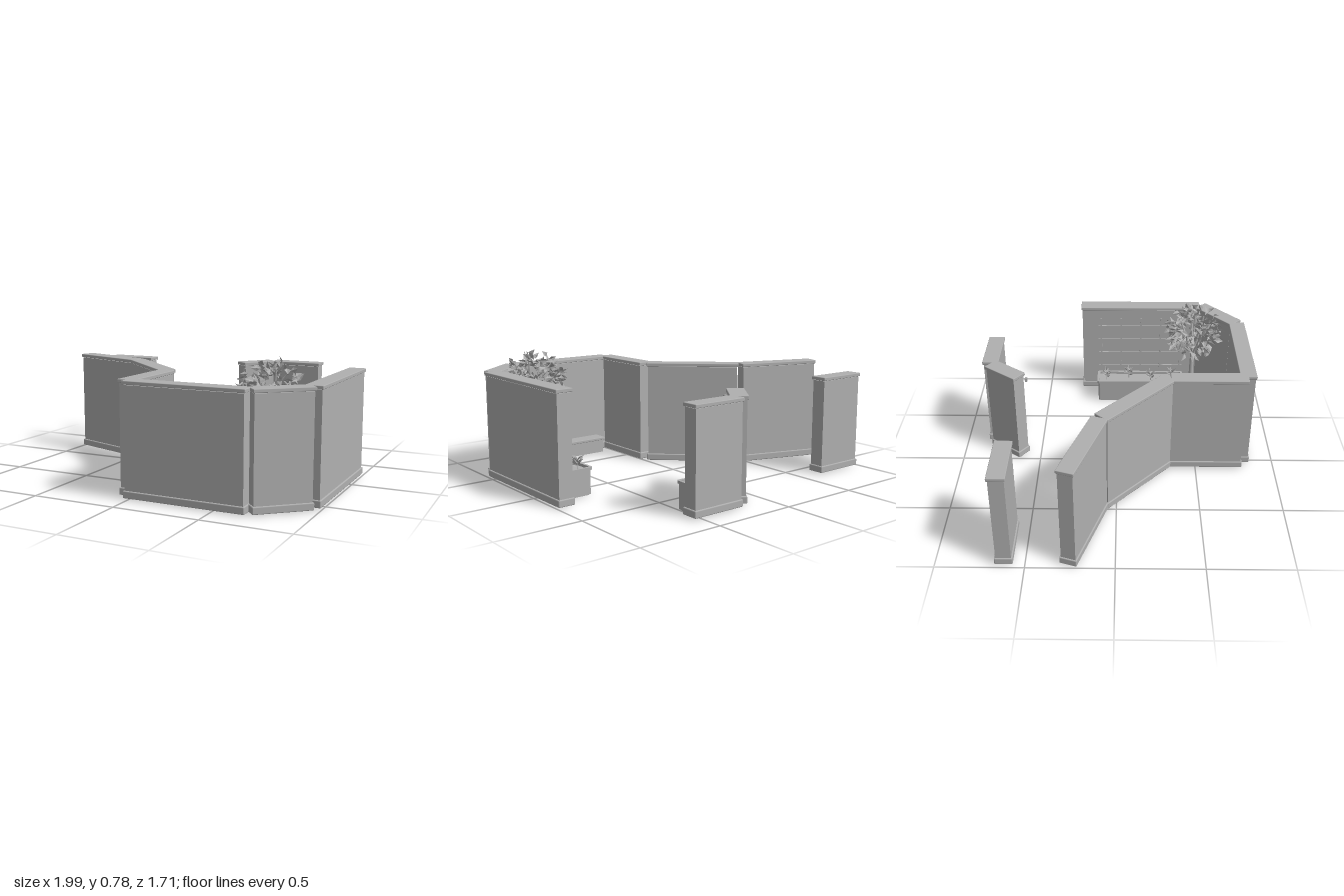
import * as THREE from 'three';
import { RoundedBoxGeometry } from 'three/addons/geometries/RoundedBoxGeometry.js';

const gray = new THREE.MeshStandardMaterial({ color: 0xb0b0b0, side: THREE.DoubleSide });
gray.name = 'gray';

let seed = 7;
const rnd = () => (seed = (seed * 16807) % 2147483647) / 2147483647;
const range = (a, b) => a + (b - a) * rnd();
const V = (x, y, z) => new THREE.Vector3(x, y, z);

function add(parent, name, geo, x = 0, y = 0, z = 0) {
  const m = new THREE.Mesh(geo, gray);
  m.name = name;
  m.position.set(x, y, z);
  parent.add(m);
  return m;
}

function subgroup(parent, name, x = 0, y = 0, z = 0) {
  const g = new THREE.Group();
  g.name = name;
  g.position.set(x, y, z);
  parent.add(g);
  return g;
}

// Partition panel between two floor points: body, coping and skirting
function wall(parent, name, x1, z1, x2, z2, h) {
  const len = Math.hypot(x2 - x1, z2 - z1), t = 0.103, y0 = 0.006;
  const g = subgroup(parent, name, (x1 + x2) / 2, 0, (z1 + z2) / 2);
  g.rotation.y = -Math.atan2(z2 - z1, x2 - x1);
  add(g, 'panel', new THREE.BoxGeometry(len - 0.016, h - 0.03, t - 0.016), 0, y0 + (h - 0.03) / 2, 0);
  add(g, 'coping', new RoundedBoxGeometry(len, 0.021, t, 1, 0.004), 0, h - 0.0105, 0);
  add(g, 'skirting', new RoundedBoxGeometry(len, 0.042, t, 1, 0.006), 0, y0 + 0.021, 0);
}

function roundRect(w, d, r, Kind = THREE.Shape) {
  const s = new Kind(), a = w / 2 - r, b = d / 2 - r;
  s.absarc(a, b, r, 0, Math.PI / 2);
  s.absarc(-a, b, r, Math.PI / 2, Math.PI);
  s.absarc(-a, -b, r, Math.PI, Math.PI * 1.5);
  s.absarc(a, -b, r, Math.PI * 1.5, Math.PI * 2);
  s.closePath();
  return s;
}

// Upright extrusion of a rounded rectangle, optionally hollow
function slab(w, d, h, r, wallThickness) {
  const s = roundRect(w, d, r);
  if (wallThickness) {
    const k = wallThickness * 2;
    s.holes.push(roundRect(w - k, d - k, r * 0.6, THREE.Path));
  }
  return new THREE.ExtrudeGeometry(s, { depth: h, bevelEnabled: false, curveSegments: 4 }).rotateX(-Math.PI / 2);
}

// Folded leaf: two halves either side of a sunken midrib
function leaf(out, base, dir, length, width) {
  const d = dir.clone().normalize();
  const side = V(range(-1, 1), range(-0.3, 0.3), range(-1, 1)).cross(d).normalize();
  const up = side.clone().cross(d);
  const at = (t, s, u) => base.clone().addScaledVector(d, t * length)
    .addScaledVector(side, s * width).addScaledVector(up, u * width);
  const tip = at(1, 0, -0.2), mid = at(0.45, 0, 0);
  for (const s of [-0.5, 0.5]) {
    const edge = at(0.4, s, 0.25);
    for (const p of [base, edge, mid, mid, edge, tip]) out.push(p.x, p.y, p.z);
  }
}

function leafGeometry(points) {
  const g = new THREE.BufferGeometry();
  g.setAttribute('position', new THREE.Float32BufferAttribute(points, 3));
  g.computeVertexNormals();
  return g;
}

// Small bedding plant with two whorls of leaves
function seedling(parent, x, y, z) {
  const g = subgroup(parent, 'seedling', x, y, z);
  add(g, 'stem', new THREE.CylinderGeometry(0.002, 0.003, 0.06, 5), 0, 0.03, 0);
  const pts = [];
  for (let i = 0; i < 14; i++) {
    const a = i * 2.4;
    leaf(pts, V(0, 0.02 + 0.045 * i / 14, 0), V(Math.cos(a), range(0.3, 1), Math.sin(a)), range(0.035, 0.05), 0.016);
  }
  add(g, 'leaves', leafGeometry(pts));
}

// Rectangular planter with rim, soil and plants
function planter(parent, name, x, z, w, d, plants) {
  const g = subgroup(parent, name, x, 0, z);
  const h = 0.165;
  add(g, 'foot', slab(w - 0.03, d - 0.03, 0.01, 0.01), 0, 0, 0);
  add(g, 'tub', slab(w - 0.016, d - 0.016, h - 0.015, 0.012, 0.008), 0, 0.006, 0);
  add(g, 'rim', slab(w, d, 0.016, 0.016, 0.016), 0, h - 0.016, 0);
  add(g, 'soil', slab(w - 0.03, d - 0.03, 0.14, 0.01), 0, 0.008, 0);
  for (const [px, pz] of plants) seedling(g, px - x, 0.148, pz - z);
}

// Potted tree with forked branches and a loose round crown
function tree(parent, x, z) {
  const g = subgroup(parent, 'pottedTree', x, 0, z);
  const profile = [[0, 0.004], [0.064, 0.004], [0.088, 0.135], [0.1, 0.135], [0.102, 0.172], [0.088, 0.172], [0.086, 0.155]];
  for (let i = 0; i < profile.length - 1; i++) {
    const seg = [profile[i], profile[i + 1]].map(p => new THREE.Vector2(...p));
    add(g, 'pot', new THREE.LatheGeometry(seg, 28));
  }
  add(g, 'soil', new THREE.CircleGeometry(0.088, 28).rotateX(-Math.PI / 2), 0, 0.156, 0);
  add(g, 'trunk', new THREE.CylinderGeometry(0.012, 0.017, 0.26, 8), 0, 0.285, 0);
  const pts = [];
  for (let i = 0; i < 9; i++) {
    const a = i * 2.4, r = i === 8 ? 0.03 : range(0.09, 0.14);
    const end = V(Math.cos(a) * r, i === 8 ? 0.71 : range(0.52, 0.69), Math.sin(a) * r);
    const bend = V(end.x * 0.4, 0.47, end.z * 0.4);
    const path = new THREE.QuadraticBezierCurve3(V(0, 0.4, 0), bend, end);
    add(g, 'branch', new THREE.TubeGeometry(path, 6, 0.006, 5));
  }
  for (let i = 0; i < 260; i++) {
    const u = range(-1, 1), a = range(0, Math.PI * 2), k = Math.sqrt(1 - u * u), r = Math.cbrt(range(0.15, 1));
    const n = V(k * Math.cos(a), u, k * Math.sin(a));
    const base = V(n.x * r * 0.175, 0.575 + n.y * r * 0.165, n.z * r * 0.175);
    leaf(pts, base, n.add(V(range(-1, 1), range(-0.9, 0.5), range(-1, 1))), range(0.042, 0.062), range(0.028, 0.04));
  }
  add(g, 'leaves', leafGeometry(pts));
}

// Lattice on spacers against the side wall
function trellis(parent) {
  const g = subgroup(parent, 'trellis', 0.87, 0, 0.157);
  for (let i = 0; i < 5; i++) {
    const z = -0.28 + i * 0.14;
    add(g, 'upright', new THREE.BoxGeometry(0.008, 0.52, 0.011), 0, 0.32, z);
    for (const y of [0.2, 0.5]) add(g, 'spacer', new THREE.BoxGeometry(0.03, 0.01, 0.01), 0.015, y, z);
  }
  for (let i = 0; i < 4; i++) {
    add(g, 'crossbar', new THREE.BoxGeometry(0.008, 0.011, 0.6), 0.004, 0.2 + i * 0.105, 0);
  }
}

export function createModel() {
  const model = new THREE.Group();
  model.name = 'gardenEnclosure';

  // Tall panels around the front and sides, lower ones at the back
  const tall = 0.65, low = 0.605;
  wall(model, 'rightOuterWall', -0.982, -0.262, -0.476, -0.095, tall);
  wall(model, 'rightAngledWall', -0.472, -0.088, -0.038, 0.315, tall);
  wall(model, 'innerSideWall', -0.035, 0.325, -0.035, 0.797, tall);
  wall(model, 'frontWall', -0.032, 0.798, 0.682, 0.798, tall);
  wall(model, 'cornerWall', 0.686, 0.792, 0.942, 0.572, tall);
  wall(model, 'leftWall', 0.942, -0.262, 0.942, 0.566, tall);
  wall(model, 'backWall', 0.204, -0.807, 0.543, -0.807, low);
  wall(model, 'backAngledWall', 0.04, -0.605, 0.193, -0.805, low);
  wall(model, 'backScreen', -0.982, -0.617, -0.643, -0.617, low);

  // Low bench along the front wall
  const bench = subgroup(model, 'bench', 0.335, 0, 0.697);
  add(bench, 'benchBase', new THREE.BoxGeometry(0.49, 0.09, 0.09), 0, 0.051, 0.004);
  add(bench, 'benchSeat', new RoundedBoxGeometry(0.51, 0.018, 0.104, 1, 0.004), 0, 0.1, 0);

  planter(model, 'sidePlanter', 0.775, 0.155, 0.152, 0.61,
    [[0.76, -0.085], [0.785, 0.075], [0.75, 0.23], [0.78, 0.38]]);
  planter(model, 'backPlanter', 0.345, -0.707, 0.325, 0.1, [[0.265, -0.7], [0.43, -0.72]]);
  trellis(model);
  tree(model, 0.69, 0.51);

  // Small peg on the angled back panel
  add(model, 'peg', new THREE.BoxGeometry(0.02, 0.025, 0.014), 0.082, 0.553, -0.57);
  return model;
}
